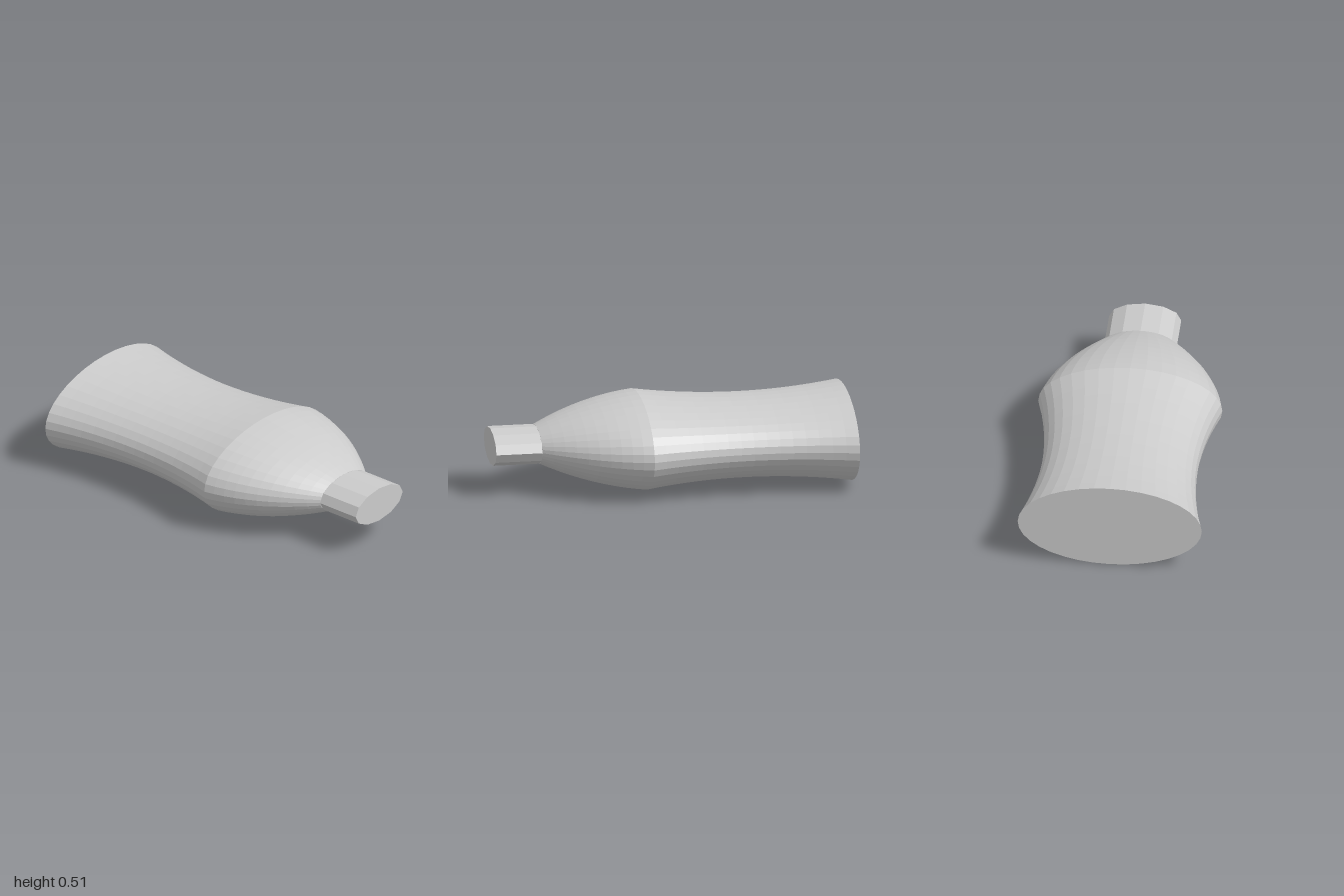
import * as THREE from 'three';

const CENTRE_Y = 0.2575;

// Oval solid turned around the z axis from [radius, z] points, half as tall as wide
function ovalTurning(name, profile, sides) {
  const points = profile.map(([r, z]) => new THREE.Vector2(r, z));
  const geometry = new THREE.LatheGeometry(points, sides);
  geometry.rotateX(Math.PI / 2);
  geometry.scale(1, 0.5, 1);
  geometry.translate(0, CENTRE_Y, 0);
  const material = new THREE.MeshStandardMaterial({ color: 0xcccccc, flatShading: true });
  const mesh = new THREE.Mesh(geometry, material);
  mesh.name = name;
  return mesh;
}

// Arc-like run between two profile points; bulge > 0 swells, < 0 pinches
function bowed([r0, z0], [r1, z1], bulge, steps) {
  return Array.from({ length: steps + 1 }, (_, i) => {
    const t = i / steps;
    return [r0 + (r1 - r0) * t + 4 * bulge * t * (1 - t), z0 + (z1 - z0) * t];
  });
}

export function createModel() {
  const group = new THREE.Group();
  group.name = 'flask';

  // Pinched body with a flat base, then the rounded shoulder up to the neck
  const waist = bowed([0.515, -1], [0.515, 0.16], -0.08, 16);
  const shoulder = bowed([0.515, 0.16], [0.2, 0.74], 0.052, 10);
  group.add(ovalTurning('body', [[0, -1], ...waist, ...shoulder.slice(1), [0, 0.74]], 36));

  // Straight neck with a closed mouth
  group.add(ovalTurning('neck', [[0.202, 0.735], [0.202, 1], [0, 1]], 12));

  return group;
}
